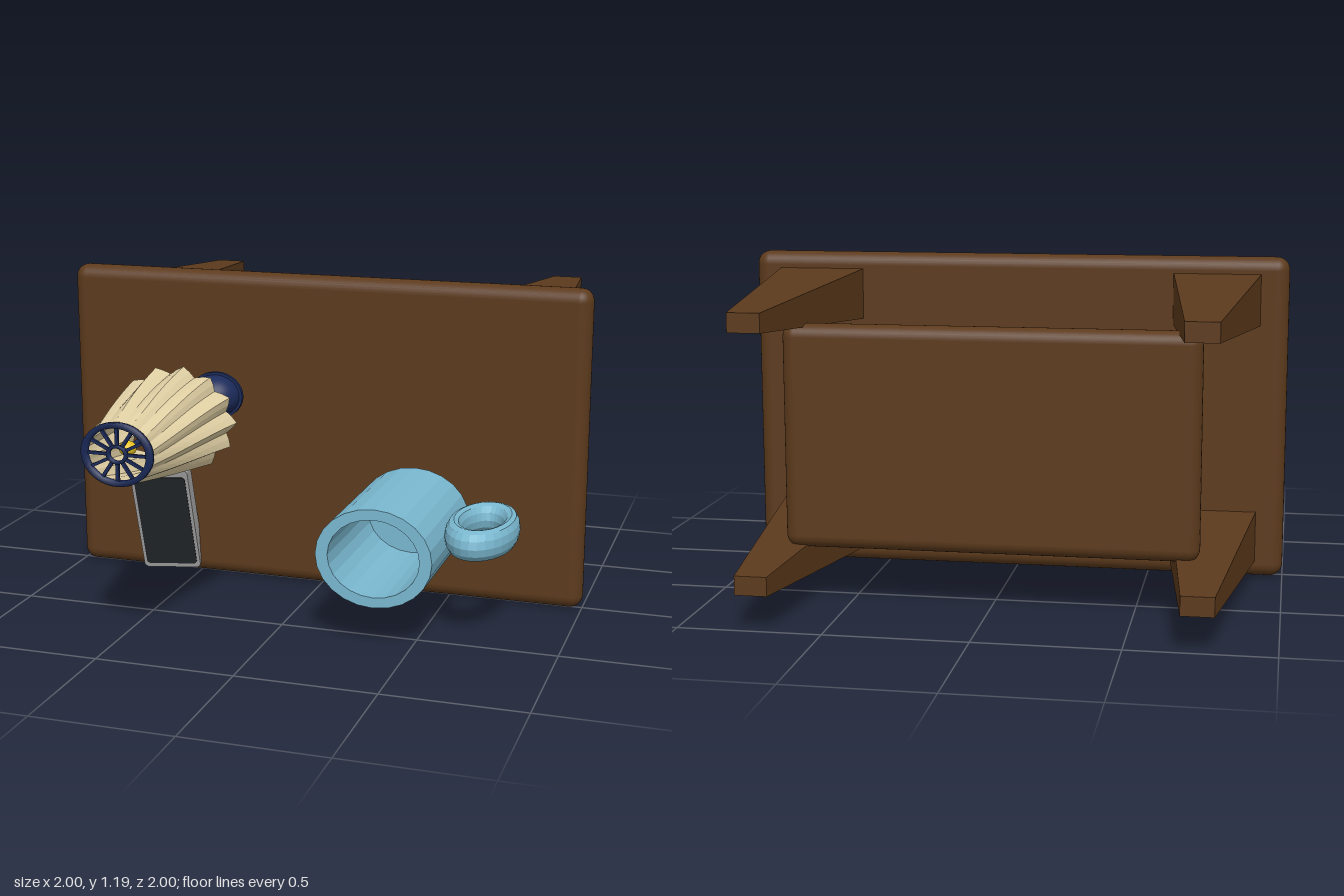
import * as THREE from 'three';
import { RoundedBoxGeometry } from 'three/addons/geometries/RoundedBoxGeometry.js';
import { ParametricGeometry } from 'three/addons/geometries/ParametricGeometry.js';

const paint = (color, opts = {}) => new THREE.MeshStandardMaterial({ color, ...opts });
const wood = paint(0x5c3a1c);
const woodFlat = paint(0x5c3a1c, { flatShading: true });
const navy = paint(0x1b2a5a);
const cream = paint(0xe2d1a5, { flatShading: true, side: THREE.DoubleSide });
const yellow = paint(0xe6c21e);
const blue = paint(0x7ab8d0, { flatShading: true });
const grey = paint(0xaaaaaa);
const dark = paint(0x25282c);

function add(parent, name, geometry, material, x = 0, y = 0, z = 0) {
  const mesh = new THREE.Mesh(geometry, material);
  mesh.name = name;
  mesh.position.set(x, y, z);
  parent.add(mesh);
  return mesh;
}

const lathe = (pts, sides) =>
  new THREE.LatheGeometry(pts.map(([r, y]) => new THREE.Vector2(r, y)), sides);

// An upright object laid so that its own up points to +z, slightly squashed in y
function lying(parent, name, x, y, z) {
  const outer = new THREE.Group();
  outer.name = name;
  outer.position.set(x, y, z);
  outer.scale.y = 0.85;
  const inner = new THREE.Group();
  inner.rotation.x = Math.PI / 2;
  outer.add(inner);
  parent.add(outer);
  return inner;
}

function buildTable(root) {
  const table = new THREE.Group();
  table.name = 'table';
  root.add(table);
  add(table, 'tableTop', new RoundedBoxGeometry(2, 1.19, 0.1, 4, 0.048), wood, 0, 0.595, -0.007);
  add(table, 'shelf', new RoundedBoxGeometry(1.45, 0.79, 0.1, 4, 0.045), wood, 0, 0.595, -0.61);

  // Legs taper towards the feet
  const leg = new THREE.BoxGeometry(0.32, 0.19, 0.96);
  const p = leg.attributes.position;
  for (let i = 0; i < p.count; i++) {
    if (p.getZ(i) < 0) p.setXY(i, p.getX(i) * 0.35, p.getY(i) * 0.35);
  }
  leg.computeVertexNormals();
  for (const sx of [-1, 1]) {
    for (const sy of [-1, 1]) {
      add(table, 'leg', leg, woodFlat, sx * 0.74, 0.595 + sy * 0.44, -0.52);
    }
  }
}

function buildLamp(root) {
  const lamp = lying(root, 'lamp', -0.4, 0.727, 0.075);

  // Foot plate and dome
  add(lamp, 'footPlate', new THREE.CylinderGeometry(0.105, 0.105, 0.016, 32), navy, 0, 0.008, 0);
  const dome = [];
  for (let i = 0; i <= 10; i++) {
    const a = (i / 10) * Math.PI / 2;
    dome.push([0.094 * Math.cos(a), 0.014 + 0.088 * Math.sin(a)]);
  }
  add(lamp, 'dome', lathe(dome, 32), navy);

  // Ribbed spindle stem
  const stem = [];
  for (let i = 0; i <= 12; i++) {
    stem.push([0.012 + 0.02 * Math.sin((i / 12) * Math.PI), 0.095 + 0.305 * i / 12]);
  }
  add(lamp, 'stem', lathe(stem, 20), navy);
  const ribCurve = new THREE.CatmullRomCurve3(
    stem.map(([r, y]) => new THREE.Vector3(r + 0.001, y, 0)));
  const ribGeo = new THREE.TubeGeometry(ribCurve, 16, 0.006, 6);
  for (let i = 0; i < 10; i++) {
    add(lamp, 'stemRib', ribGeo, navy).rotation.y = (i / 10) * Math.PI * 2;
  }
  add(lamp, 'collar', new THREE.CylinderGeometry(0.03, 0.03, 0.02, 20), navy, 0, 0.395, 0);
  add(lamp, 'rod', new THREE.CylinderGeometry(0.011, 0.011, 0.42, 12), navy, 0, 0.6, 0);
  add(lamp, 'bulb', new THREE.SphereGeometry(0.03, 20, 14), yellow, 0, 0.83, 0);

  // Twisted pleated shade, open at both ends
  const pleats = 13;
  const shade = new ParametricGeometry((u, v, out) => {
    const wave = Math.abs(((u * pleats) % 1) * 2 - 1);
    const base = 0.226 - 0.09 * v - 0.012 * v * v;
    const r = base * (1 - (0.15 - 0.09 * v) * (1 - wave));
    const a = u * Math.PI * 2 + 0.3 * v * v;
    out.set(r * Math.cos(a), 0.395 + 0.52 * v, r * Math.sin(a));
  }, pleats * 4, 10);
  add(lamp, 'shade', shade, cream);

  // Spoked ring at the narrow end
  const ring = lathe([[0.106, 0], [0.128, 0], [0.128, 0.018], [0.106, 0.018], [0.106, 0]], 40);
  add(lamp, 'shadeRing', ring, navy, 0, 0.907, 0);
  const hub = lathe([[0.026, 0], [0.038, 0], [0.038, 0.014], [0.026, 0.014], [0.026, 0]], 24);
  add(lamp, 'shadeHub', hub, navy, 0, 0.909, 0);
  const spoke = new THREE.BoxGeometry(0.08, 0.01, 0.012).translate(0.072, 0, 0);
  for (let i = 0; i < 12; i++) {
    add(lamp, 'shadeSpoke', spoke, navy, 0, 0.915, 0).rotation.y = (i / 12) * Math.PI * 2;
  }
}

function buildMug(root) {
  const mug = lying(root, 'mug', 0.373, 0.325, 0.068);
  add(mug, 'mugBody', lathe(
    [[0, 0], [0.208, 0], [0.208, 0.557], [0.164, 0.557], [0.164, 0.04], [0, 0.04]], 24), blue);

  // Oval ring handle
  const handle = add(root, 'mugHandle', new THREE.TorusGeometry(1, 0.31, 12, 28), blue, 0.688, 0.365, 0.32);
  handle.rotation.x = Math.PI / 2;
  handle.scale.set(0.097, 0.177, 0.177);
}

function buildPhone(root) {
  const phone = new THREE.Group();
  phone.name = 'phone';
  phone.position.set(-0.605, 0.238, 0.105);
  phone.rotation.set(0.29, 0.15, 0);
  root.add(phone);

  const plate = (w, h, r, d) => {
    const s = new THREE.Shape();
    const x = w / 2, y = h / 2;
    s.moveTo(-x + r, -y);
    s.absarc(x - r, -y + r, r, -Math.PI / 2, 0);
    s.absarc(x - r, y - r, r, 0, Math.PI / 2);
    s.absarc(-x + r, y - r, r, Math.PI / 2, Math.PI);
    s.absarc(-x + r, -y + r, r, Math.PI, Math.PI * 1.5);
    return new THREE.ExtrudeGeometry(s, { depth: d, bevelEnabled: false, curveSegments: 6 });
  };
  add(phone, 'phoneBody', plate(0.225, 0.445, 0.018, 0.06), grey, 0, 0, -0.03);
  add(phone, 'phoneScreen', plate(0.2, 0.395, 0.014, 0.006), dark, 0, -0.006, 0.027);
  add(phone, 'speakerSlot', plate(0.05, 0.006, 0.002, 0.003), dark, 0, 0.208, 0.029);
}

export function createModel() {
  const root = new THREE.Group();
  root.name = 'tableWithObjects';
  buildTable(root);
  buildLamp(root);
  buildMug(root);
  buildPhone(root);
  return root;
}
